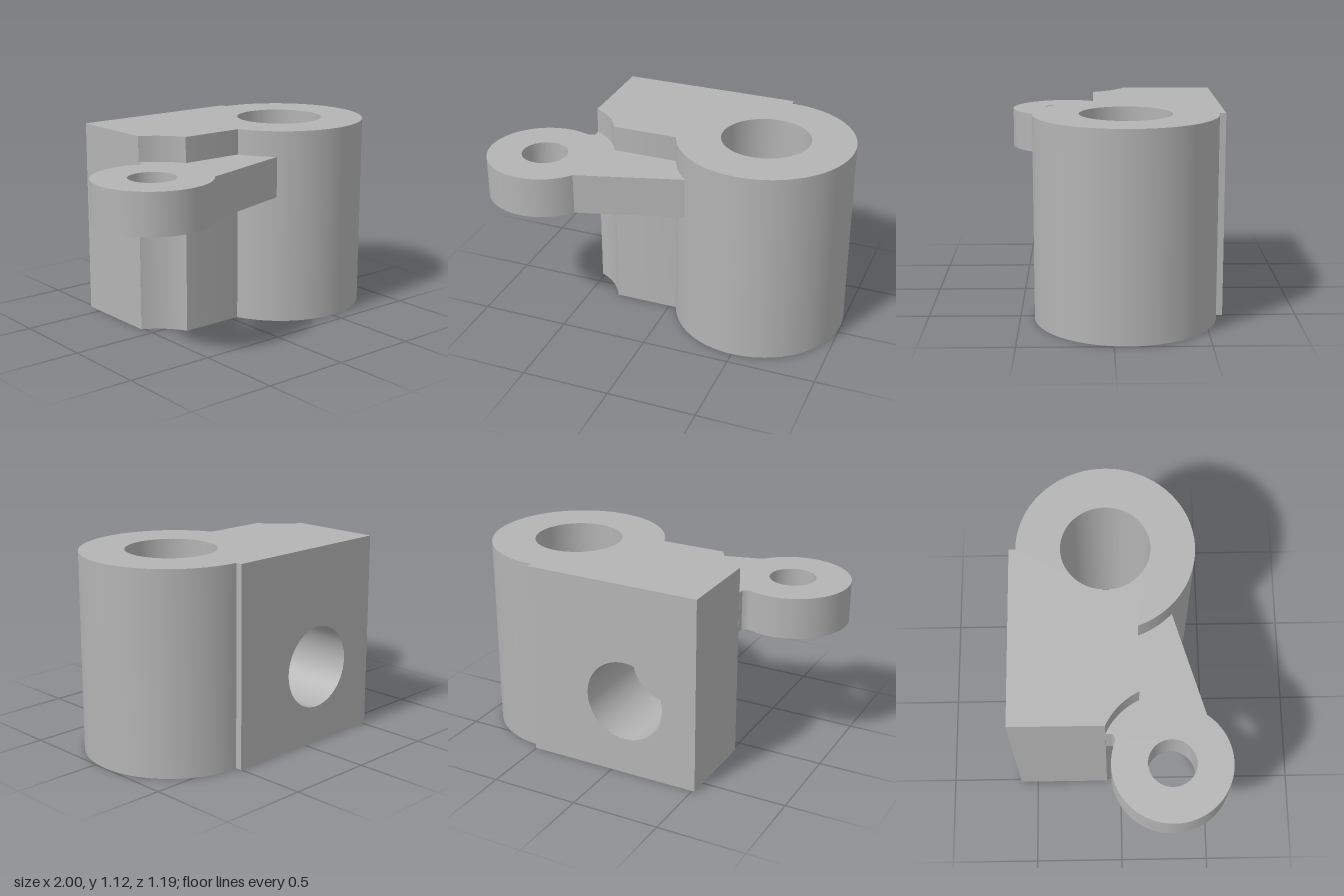
import * as THREE from 'three';
import { toCreasedNormals } from 'three/addons/utils/BufferGeometryUtils.js';

const HEIGHT = 1.115, BACK = -0.6;
const BORE = { x: -0.086, y: 0.44, r: 0.23, depth: 0.5 };
const BOSS = { x: 0.505, y: 0.07, r: 0.493 };   // plan coordinates: y = -z
const EYE = { x: -0.68, y: -0.27, r: 0.325 };

function circlePath(x, y, r) {
  return new THREE.Path().absarc(x, y, r, 0, Math.PI * 2, true);
}

// Extrude a plan shape upwards, smooth on curves and sharp at corners
function extrudeUp(shape, y0, y1) {
  const g = new THREE.ExtrudeGeometry(shape, { depth: y1 - y0, bevelEnabled: false, curveSegments: 64 });
  g.rotateX(-Math.PI / 2).translate(0, y0, 0);
  return toCreasedNormals(g, 0.4);
}

// Drop the flat back wall, so a pierced one can take its place
function removeBackWall(g) {
  const p = g.attributes.position, n = g.attributes.normal, pos = [], nor = [];
  for (let i = 0; i < p.count; i += 3) {
    if ([0, 1, 2].every(k => Math.abs(p.getZ(i + k) - BACK) < 1e-4)) continue;
    for (let k = i; k < i + 3; k++) {
      pos.push(p.getX(k), p.getY(k), p.getZ(k));
      nor.push(n.getX(k), n.getY(k), n.getZ(k));
    }
  }
  const out = new THREE.BufferGeometry();
  out.setAttribute('position', new THREE.Float32BufferAttribute(pos, 3));
  out.setAttribute('normal', new THREE.Float32BufferAttribute(nor, 3));
  return out;
}

export function createModel() {
  const group = new THREE.Group();
  group.name = 'pivotBracket';
  const grey = new THREE.MeshStandardMaterial({ color: 0xb4b4b4 });
  grey.name = 'grey';
  const greyInside = grey.clone();
  greyInside.side = THREE.BackSide;
  const add = (name, geometry, material = grey) => {
    const mesh = new THREE.Mesh(geometry, material);
    mesh.name = name;
    group.add(mesh);
    return mesh;
  };

  // Block and round boss in one outline, with a relief arc around the arm's eye
  const body = new THREE.Shape();
  body.moveTo(-0.515, -BACK);
  body.lineTo(-0.515, 0.083);
  body.absarc(EYE.x, EYE.y, 0.39, 1.133, 0.451, true);
  body.lineTo(0.042, -0.1);
  body.absarc(BOSS.x, BOSS.y, BOSS.r, Math.atan2(-0.17, -0.463), Math.PI / 2, false);
  body.lineTo(BOSS.x, -BACK);
  body.closePath();
  body.holes.push(circlePath(BOSS.x, BOSS.y, 0.248));
  add('body', removeBackWall(extrudeUp(body, 0, HEIGHT)));

  // Back wall with a round opening, drawn mirrored and turned to face -z
  const wall = new THREE.Shape();
  wall.moveTo(-BOSS.x, 0);
  wall.lineTo(0.515, 0);
  wall.lineTo(0.515, HEIGHT);
  wall.lineTo(-BOSS.x, HEIGHT);
  wall.closePath();
  wall.holes.push(circlePath(-BORE.x, BORE.y, BORE.r));
  add('backWall', new THREE.ShapeGeometry(wall, 64).rotateY(Math.PI).translate(0, 0, BACK));

  // Blind bore running forward from the back wall
  const bore = new THREE.CylinderGeometry(BORE.r, BORE.r, BORE.depth, 64, 1, true).rotateX(Math.PI / 2);
  add('boreWall', bore, greyInside).position.set(BORE.x, BORE.y, BACK + BORE.depth / 2);
  const floor = new THREE.CircleGeometry(BORE.r, 64).rotateY(Math.PI);
  add('boreFloor', floor).position.set(BORE.x, BORE.y, BACK + BORE.depth);

  // Arm: ring-shaped eye, filleted neck and slanted front edge, rooted in the body
  const arm = new THREE.Shape();
  arm.absarc(EYE.x, EYE.y, EYE.r, 1.209, Math.PI * 2 - 0.631, false);
  arm.lineTo(0.24, -0.27);
  arm.lineTo(0.1, 0);
  arm.lineTo(-0.4, 0.12);
  arm.lineTo(-0.5, 0.09);
  arm.lineTo(-0.515, 0.08);
  arm.lineTo(-0.515, 0.045);
  arm.quadraticCurveTo(-0.54, 0.026, -0.565, 0.034);
  arm.holes.push(circlePath(EYE.x, EYE.y, 0.13));
  add('arm', extrudeUp(arm, 0.738, 0.97));

  return group;
}
